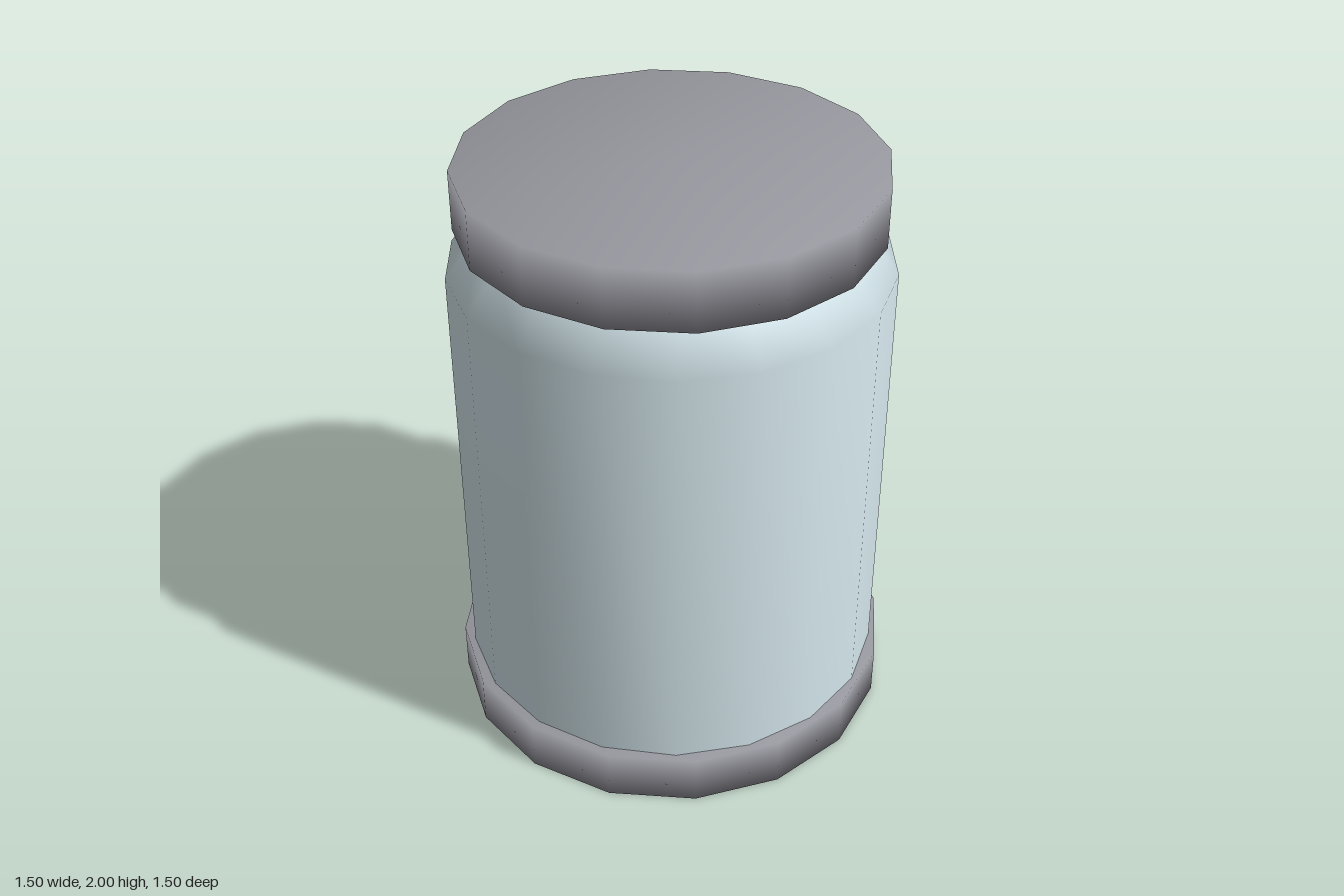
import * as THREE from 'three';

// Turned part with smooth normals from a bottom-to-top [radius, height] profile
function turned(name, profile, sides, color, phiStart = 0) {
  const points = profile.map(([r, y]) => new THREE.Vector2(r, y));
  const geometry = new THREE.LatheGeometry(points, sides, phiStart);
  const mesh = new THREE.Mesh(geometry, new THREE.MeshStandardMaterial({ color }));
  mesh.name = name;
  return mesh;
}

// Closed disc between two heights
const disc = (radius, y0, y1) => [[0, y0], [radius, y0], [radius, y1], [0, y1]];

export function createModel() {
  const METAL = 0x97979f;
  const GLASS = 0xd4e6ec;
  const model = new THREE.Group();
  model.name = 'jar';

  model.add(
    // Wide foot
    turned('base', disc(0.75, 0, 0.175), 16, METAL),
    // Glass wall with a sloped shoulder, corners on the x axis
    turned('glassBody', [[0.717, 0.172], [0.717, 1.66], [0.61, 1.8]], 18, GLASS, Math.PI / 2),
    // Lid overhanging the neck
    turned('lid', disc(0.683, 1.8, 2), 16, METAL),
  );
  return model;
}
